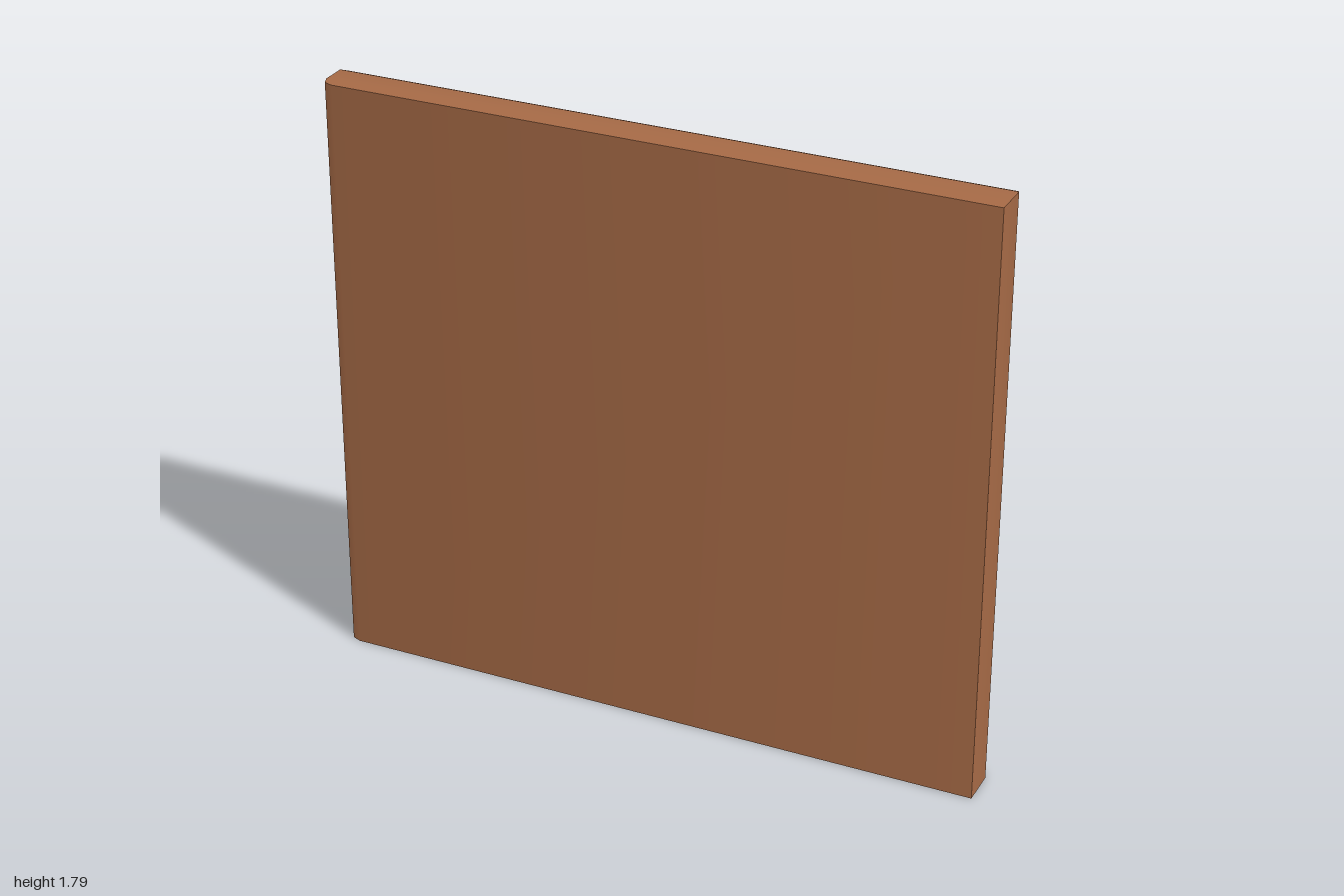
import * as THREE from 'three';
import { toCreasedNormals } from 'three/addons/utils/BufferGeometryUtils.js';

const HEIGHT = 1.794, BORDER = 0.11, BACK = -0.075, FRONT = 0.075, RADIUS = 0.037, PANEL_Z = 0.037;

// Moulding section, from the recess over the rounded rim to the flat face: [inset, z, extra inset at -x]
function mouldingSection() {
  const steps = 2, section = [[BORDER, PANEL_Z, 0]];
  const arc = (f) => {
    for (let i = 0; i <= steps; i++) {
      const t = (i / steps) * Math.PI / 2;
      section.push(f(RADIUS * (1 - Math.cos(t)), RADIUS * (1 - Math.sin(t))));
    }
  };
  arc((a, b) => [BORDER - a, BACK + b, 0]);                 // inner rounding
  arc((a, b) => [b, BACK + a, 0]);                          // outer rounding
  arc((a, b) => [0, FRONT - b, a]);                         // one rounded upright at -x
  return section;
}

// Sweeps the section round the rectangle with mitred corners and closes the flat face
function frameGeometry() {
  const rings = mouldingSection().map(([inset, z, extra]) => {
    const x0 = -1 + inset + extra, x1 = 1 - inset, y0 = inset, y1 = HEIGHT - inset;
    return [[x0, y0, z], [x1, y0, z], [x1, y1, z], [x0, y1, z]];
  });
  const positions = [];
  const quad = (a, b, c, d) => positions.push(...a, ...b, ...c, ...a, ...c, ...d);
  for (let r = 0; r < rings.length - 1; r++) {
    for (let k = 0; k < 4; k++) {
      const n = (k + 1) % 4;
      quad(rings[r][k], rings[r][n], rings[r + 1][n], rings[r + 1][k]);
    }
  }
  quad(...rings[rings.length - 1]);
  const geometry = new THREE.BufferGeometry();
  geometry.setAttribute('position', new THREE.Float32BufferAttribute(positions, 3));
  return toCreasedNormals(geometry, 0.6);
}

export function createModel() {
  const wood = new THREE.MeshStandardMaterial({ color: 0xa66a46 });
  wood.name = 'brown wood';
  const green = new THREE.MeshStandardMaterial({ color: 0x4b7e1d });
  green.name = 'board green';

  const model = new THREE.Group();
  model.name = 'framedBoard';

  const frame = new THREE.Mesh(frameGeometry(), wood);
  frame.name = 'frame';
  model.add(frame);

  // Writing surface at the bottom of the recess, facing -z
  const panel = new THREE.Mesh(new THREE.PlaneGeometry(2 - 2 * BORDER, HEIGHT - 2 * BORDER), green);
  panel.name = 'boardPanel';
  panel.rotation.y = Math.PI;
  panel.position.set(0, HEIGHT / 2, PANEL_Z);
  model.add(panel);

  return model;
}
